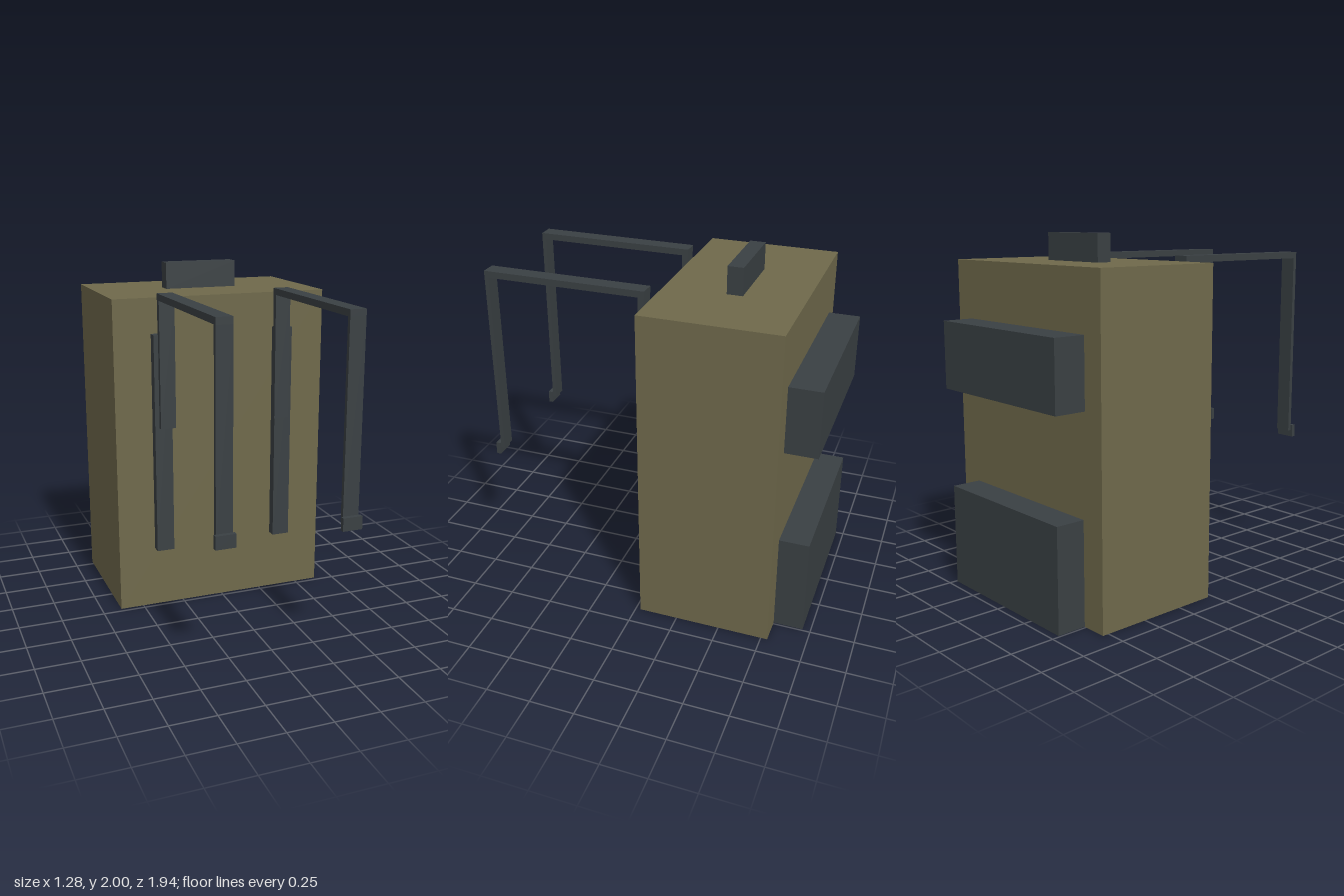
import * as THREE from 'three';

const canvas = new THREE.MeshStandardMaterial({ color: 0x6f694b, flatShading: true });
const webbing = new THREE.MeshStandardMaterial({ color: 0x3a4043, flatShading: true });

// Box given by its lower and upper limit on each axis
function block(name, material, [x0, x1], [y0, y1], [z0, z1]) {
  const mesh = new THREE.Mesh(new THREE.BoxGeometry(x1 - x0, y1 - y0, z1 - z0), material);
  mesh.position.set((x0 + x1) / 2, (y0 + y1) / 2, (z0 + z1) / 2);
  mesh.name = name;
  return mesh;
}

// Shoulder strap on one side (side = 1 or -1)
function shoulderStrap(side) {
  const strap = new THREE.Group();
  strap.name = side > 0 ? 'leftStrap' : 'rightStrap';
  const span = (inner, outer) => (side > 0 ? [inner, outer] : [-outer, -inner]);
  const band = span(0.305, 0.395);

  strap.add(
    block('backPad', webbing, span(0.318, 0.421), [0.36, 1.645], [-0.03, 0.025]),
    block('strapRear', webbing, band, [1.11, 1.838], [0.018, 0.052]),
    block('strapTop', webbing, band, [1.838, 1.875], [0.015, 0.943]),
    block('strapFront', webbing, band, [0.77, 1.838], [0.92, 0.943]),
    block('strapClip', webbing, span(0.295, 0.407), [0.73, 0.803], [0.943, 0.968])
  );
  return strap;
}

export function createModel() {
  const backpack = new THREE.Group();
  backpack.name = 'backpack';

  backpack.add(
    block('bag', canvas, [-0.638, 0.638], [0, 1.847], [-0.787, -0.028]),
    block('carryHandle', webbing, [-0.217, 0.217], [1.847, 2], [-0.46, -0.373]),
    // Pockets on the back
    block('upperPocket', webbing, [-0.51, 0.51], [1.14, 1.52], [-0.968, -0.787]),
    block('lowerPocket', webbing, [-0.49, 0.49], [0, 0.577], [-0.955, -0.787])
  );
  for (const side of [1, -1]) backpack.add(shoulderStrap(side));
  return backpack;
}
